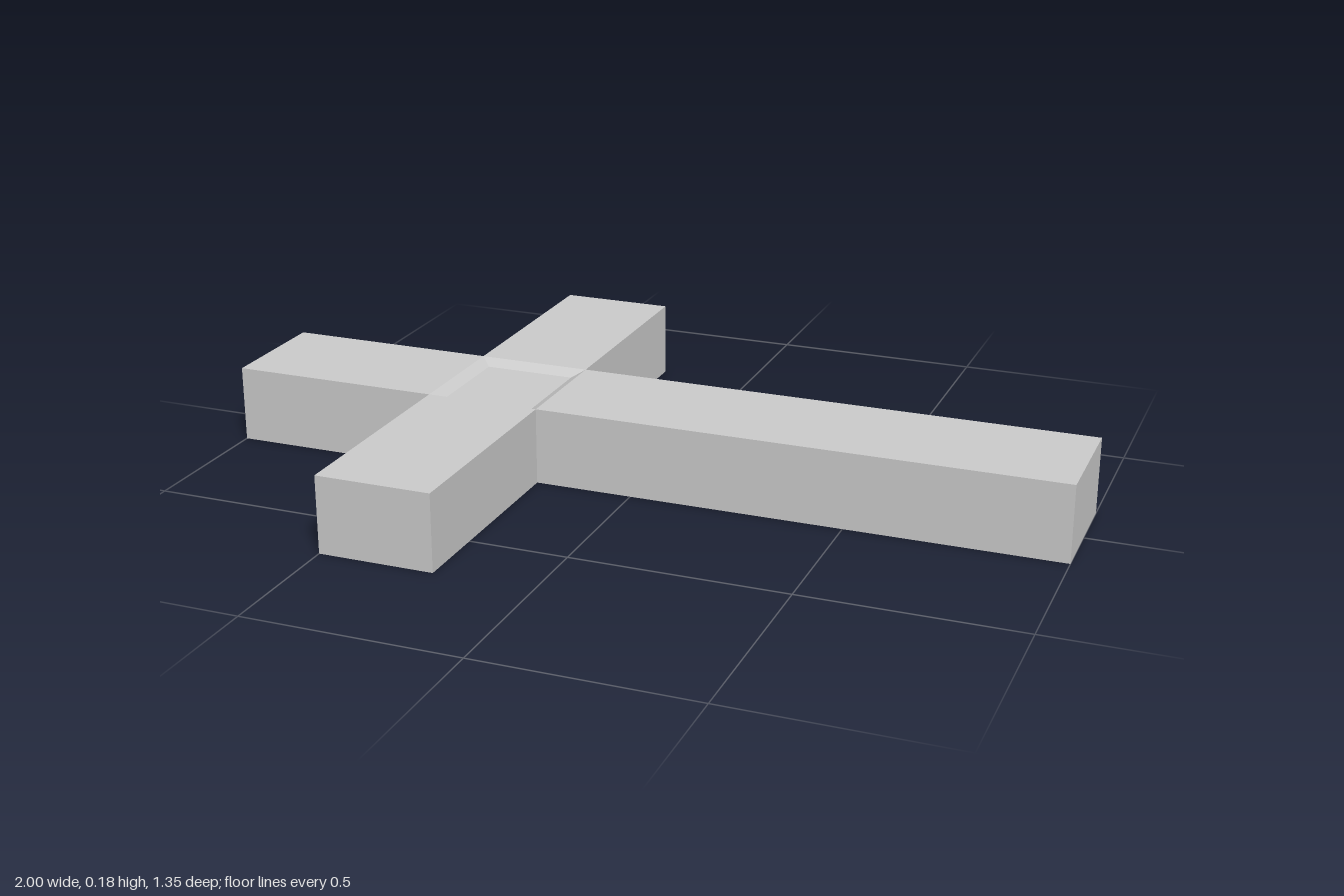
import * as THREE from 'three';

const H = 0.18;                                   // bar height
const X0 = -0.5, X1 = -0.23, Z0 = -0.145, Z1 = 0.145; // crossing bounds
const INSET = 0.027, DEPTH = 0.015;               // shallow dish in the crossing

// Box between two corners, without the face that meets the crossing
// (face order: +x, -x, +y, -y, +z, -z)
function armGeometry(xa, xb, za, zb, openFace) {
  const g = new THREE.BoxGeometry(xb - xa, H, zb - za);
  g.translate((xa + xb) / 2, H / 2, (za + zb) / 2);
  const index = Array.from(g.index.array);
  index.splice(openFace * 6, 6);
  g.setIndex(index);
  g.clearGroups();
  return g;
}

// Rectangle of four corners, counter-clockwise from above
function loop(inset, y) {
  const a = X0 + inset, b = X1 - inset, c = Z0 + inset, d = Z1 - inset;
  return [[a, y, d], [b, y, d], [b, y, c], [a, y, c]];
}

// Crossing: sloped rim, sunken floor and flat underside
function crossingGeometry() {
  const rim = loop(0, H), floor = loop(INSET, H - DEPTH), base = loop(0, 0);
  const pos = [];
  const quad = (a, b, c, d) => pos.push(...a, ...b, ...c, ...a, ...c, ...d);
  for (let i = 0; i < 4; i++) {
    const j = (i + 1) % 4;
    quad(rim[i], rim[j], floor[j], floor[i]);
  }
  quad(...floor);
  quad(...base.reverse());
  const g = new THREE.BufferGeometry();
  g.setAttribute('position', new THREE.Float32BufferAttribute(pos, 3));
  g.computeVertexNormals();
  return g;
}

export function createModel() {
  const group = new THREE.Group();
  group.name = 'cross';
  const material = new THREE.MeshStandardMaterial({ color: 0xcccccc, flatShading: true });
  const add = (name, geometry) => {
    const mesh = new THREE.Mesh(geometry, material);
    mesh.name = name;
    group.add(mesh);
  };
  add('longArm', armGeometry(X1, 1, Z0, Z1, 1));
  add('shortArm', armGeometry(-1, X0, Z0, Z1, 0));
  add('frontArm', armGeometry(X0, X1, Z1, 0.675, 5));
  add('backArm', armGeometry(X0, X1, -0.675, Z0, 4));
  add('crossing', crossingGeometry());
  return group;
}
